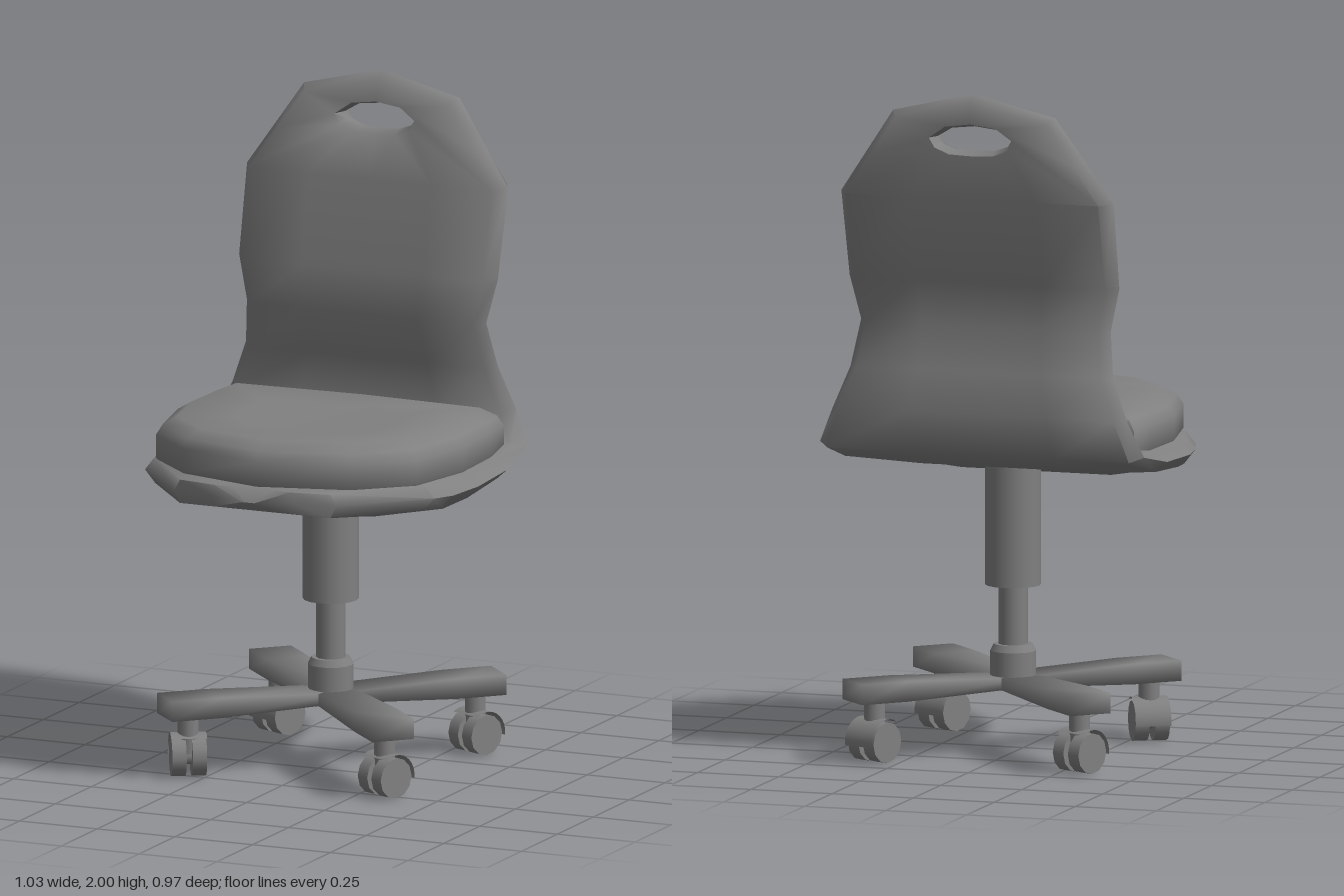
import * as THREE from 'three';
import { mergeGeometries, toCreasedNormals } from 'three/addons/utils/BufferGeometryUtils.js';

const grey = new THREE.MeshStandardMaterial({ color: 0x808080 });
const greyThin = new THREE.MeshStandardMaterial({ color: 0x808080, side: THREE.DoubleSide });

function mesh(name, geometry, parent, material = grey) {
  const m = new THREE.Mesh(geometry, material);
  m.name = name;
  parent.add(m);
  return m;
}

// Skin closed rings of [x, y, z] points; wrap joins the last ring to the first
function loft(rings, wrap, keep = () => true) {
  const n = rings[0].length, count = rings.length, index = [];
  for (let i = 0; i < (wrap ? count : count - 1); i++) {
    for (let j = 0; j < n; j++) {
      if (!keep(i, j)) continue;
      const k = (j + 1) % n, p = i * n, q = ((i + 1) % count) * n;
      index.push(p + j, p + k, q + k, p + j, q + k, q + j);
    }
  }
  const g = new THREE.BufferGeometry();
  g.setAttribute('position', new THREE.Float32BufferAttribute(rings.flat(2), 3));
  g.setIndex(index);
  return g;
}

// Complete a half outline whose first and last points lie on x = 0
const mirror = half => [...half, ...half.slice(1, -1).reverse().map(([x, y]) => [-x, y])];

// Seat pan and lower backrest: one sheet swept from the front lip up the back
function sheetGeometry() {
  // half width, upper z, upper y, lower z, lower y, lift of the lower edge
  const stations = [
    [0.02, 0.487, 0.895, 0.487, 0.895, 0],
    [0.13, 0.462, 0.932, 0.462, 0.868, 0],
    [0.26, 0.44, 0.932, 0.44, 0.862, 0],
    [0.465, 0.2, 0.93, 0.2, 0.815, 0.04],
    [0.49, 0.12, 0.93, 0.12, 0.8, 0.045],
    [0.515, 0, 0.93, 0, 0.825, 0.03],
    [0.514, -0.2, 0.932, -0.21, 0.86, 0.01],
    [0.5, -0.335, 0.95, -0.41, 0.925, 0],
    [0.455, -0.355, 1.03, -0.43, 1.05, 0],
    [0.405, -0.345, 1.16, -0.405, 1.17, 0],
    [0.385, -0.3, 1.3, -0.375, 1.3, 0],
    [0.416, -0.307, 1.43, -0.395, 1.43, 0],
    [0.42, -0.36, 1.69, -0.47, 1.69, 0],
  ];
  const us = [-0.93, -0.47, 0, 0.47, 0.93];
  const rings = stations.map(([w, zt, yt, zb, yb, lift]) => [
    ...us.map(u => [u * w, yt, zt]),
    [w, (yt + yb + lift) / 2, (zt + zb) / 2],
    ...us.map(u => [-u * w, yb + (Math.abs(u) > 0.9 ? lift : 0), zb]),
    [-w, (yt + yb + lift) / 2, (zt + zb) / 2],
  ]);
  return loft(rings, false);
}

// Top of the backrest with its oval hand hole
function headGeometry() {
  const y0 = 1.69;
  const outer = mirror([[0, y0], [0.2123, y0], [0.42, y0], [0.335, 1.815], [0.25, 1.94], [0, 2]]);
  const hole = mirror([[0, 1.83], [0.06, 1.832], [0.1, 1.846], [0.115, 1.868], [0.07, 1.895], [0, 1.903]]);
  const front = y => -0.36 - (y - y0) * 0.19;
  const back = y => -0.47 - (y - y0) * 0.05;
  const middle = y => (front(y) + back(y)) / 2;
  const ring = (points, z) => points.map(([x, y]) => [x, y, z(y)]);
  const inset = outer.map(([x, y]) => [x * 0.93, y0 + (y - y0) * 0.93]);
  const lip = hole.map(([x, y]) => [x * 1.12, 1.866 + (y - 1.866) * 1.3]);
  // the bottom stays open where it joins the sheet below
  return loft([
    ring(outer, middle), ring(inset, front), ring(lip, front),
    ring(hole, middle), ring(lip, back), ring(inset, back),
  ], true, (i, j) => (i > 0 && i < 5) || (j > 1 && j < 8));
}

// Padded cushion: a plan outline stacked in rings, closed at both ends
function cushionGeometry() {
  const plan = mirror([[0, 0.435], [0.27, 0.36], [0.42, 0.22], [0.468, 0], [0.462, -0.2], [0.45, -0.32], [0, -0.34]]);
  // scale, height
  const layers = [[0, 0.92], [0.97, 0.92], [1, 0.935], [1, 1.005], [0.96, 1.035], [0.87, 1.06], [0.5, 1.052], [0, 1.047]];
  return toCreasedNormals(loft(layers.map(([s, y]) => plan.map(([x, z]) => [x * s, y, z * s])), false), 1);
}

// Flat arm along +x, thicker towards its tip
function armGeometry() {
  const g = new THREE.BoxGeometry(0.52, 0.06, 0.13, 2, 1, 1).translate(0.26, 0, 0);
  const p = g.attributes.position;
  for (let i = 0; i < p.count; i++) {
    if (p.getX(i) < 0.1) p.setY(i, p.getY(i) * 0.5);
    else if (p.getX(i) < 0.4) p.setX(i, 0.37);
  }
  return toCreasedNormals(g, Math.PI);
}

// Twin-wheel caster rolling about its local x axis
function caster() {
  const g = new THREE.Group();
  g.name = 'caster';
  mesh('casterStem', new THREE.CylinderGeometry(0.031, 0.031, 0.12, 12), g).position.y = 0.13;
  for (const side of [-1, 1]) {
    const wheel = mesh('casterWheel', new THREE.CylinderGeometry(0.06, 0.06, 0.042, 12), g);
    wheel.rotation.z = Math.PI / 2;
    wheel.position.set(side * 0.03, 0.06, 0);
  }
  mesh('casterAxle', new THREE.CylinderGeometry(0.025, 0.025, 0.06, 8).rotateZ(Math.PI / 2), g).position.y = 0.06;
  // curved hood over the top and trailing side of the wheels
  const hood = new THREE.CylinderGeometry(0.07, 0.07, 0.106, 10, 1, true, 1, Math.PI * 0.72);
  mesh('casterHood', hood.rotateZ(Math.PI / 2), g, greyThin).position.y = 0.06;
  return g;
}

export function createModel() {
  const chair = new THREE.Group();
  chair.name = 'deskChair';

  const shell = toCreasedNormals(mergeGeometries([sheetGeometry(), headGeometry()]), 1.2);
  mesh('seatShell', shell, chair, greyThin);
  mesh('cushion', cushionGeometry(), chair);

  // Column: sleeve, rod and collar, slightly behind the centre
  const tube = (name, rTop, rBottom, y0, y1) =>
    mesh(name, new THREE.CylinderGeometry(rTop, rBottom, y1 - y0, 16), chair).position.set(0.005, (y0 + y1) / 2, -0.077);
  tube('columnSleeve', 0.082, 0.082, 0.495, 0.88);
  tube('columnRod', 0.043, 0.043, 0.22, 0.52);
  tube('columnCollar', 0.067, 0.067, 0.21, 0.3);
  tube('collarRim', 0.057, 0.067, 0.3, 0.32);

  // Four diagonal arms, each with a caster swivelled its own way near the tip
  const base = new THREE.Group();
  base.name = 'base';
  base.position.set(0.012, 0, -0.068);
  chair.add(base);
  [-0.42, -0.42, Math.PI - 0.42, 0.52].forEach((swivel, i) => {
    const angle = -Math.PI / 4 + i * Math.PI / 2;
    const arm = mesh('baseArm', armGeometry(), base);
    arm.position.y = 0.21;
    arm.rotation.y = angle;
    const c = caster();
    c.position.set(0.447 * Math.cos(angle), 0, -0.447 * Math.sin(angle));
    c.rotation.y = swivel;
    base.add(c);
  });
  return chair;
}
